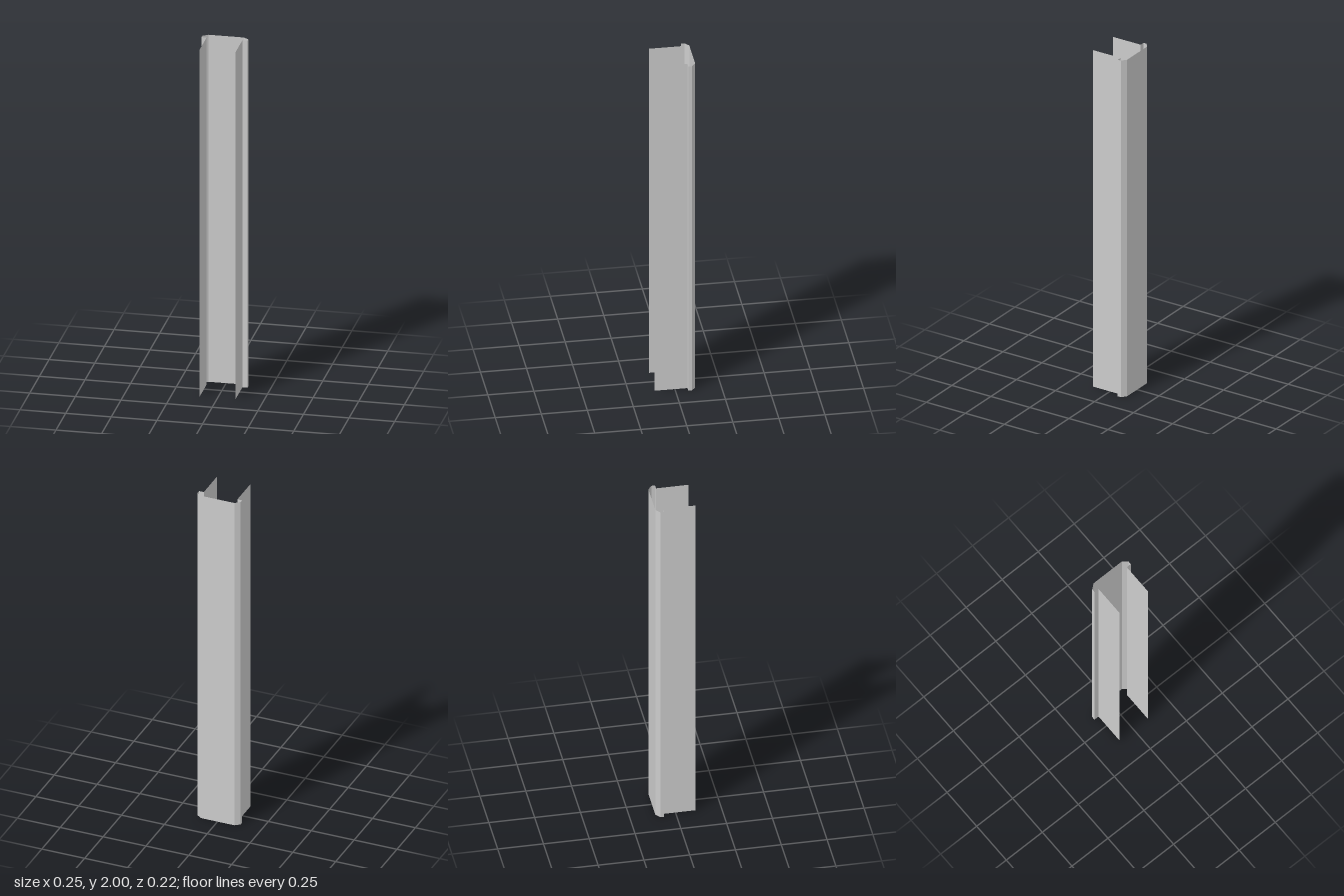
import * as THREE from 'three';

const HEIGHT = 2;

// Open vertical sheet running through a list of [x, z] points
function sheet(name, points, material) {
  const pos = [];
  for (let i = 0; i < points.length - 1; i++) {
    const [ax, az] = points[i];
    const [bx, bz] = points[i + 1];
    pos.push(ax, 0, az, bx, 0, bz, bx, HEIGHT, bz);
    pos.push(ax, 0, az, bx, HEIGHT, bz, ax, HEIGHT, az);
  }
  const geometry = new THREE.BufferGeometry();
  geometry.setAttribute('position', new THREE.Float32BufferAttribute(pos, 3));
  geometry.computeVertexNormals();
  const mesh = new THREE.Mesh(geometry, material);
  mesh.name = name;
  return mesh;
}

export function createModel() {
  const group = new THREE.Group();
  group.name = 'channelProfile';
  const material = new THREE.MeshStandardMaterial({
    color: 0xcccccc, flatShading: true, side: THREE.DoubleSide,
  });

  const wallX = 0.098, lipX = 0.126;
  const frontZ = 0.11, stepZ = -0.068, chamferZ = -0.088, backZ = -0.11;

  // Flat back web
  group.add(sheet('backWeb', [[wallX, backZ], [-wallX, backZ]], material));

  for (const [side, s] of [['left', 1], ['right', -1]]) {
    // Chamfer, outer lip and inward step at each rear corner
    group.add(sheet(side + 'CornerLip', [
      [s * wallX, backZ], [s * lipX, chamferZ], [s * lipX, stepZ], [s * wallX, stepZ],
    ], material));
    // Side wall reaching forward
    group.add(sheet(side + 'Wall', [[s * wallX, stepZ], [s * wallX, frontZ]], material));
  }
  return group;
}
